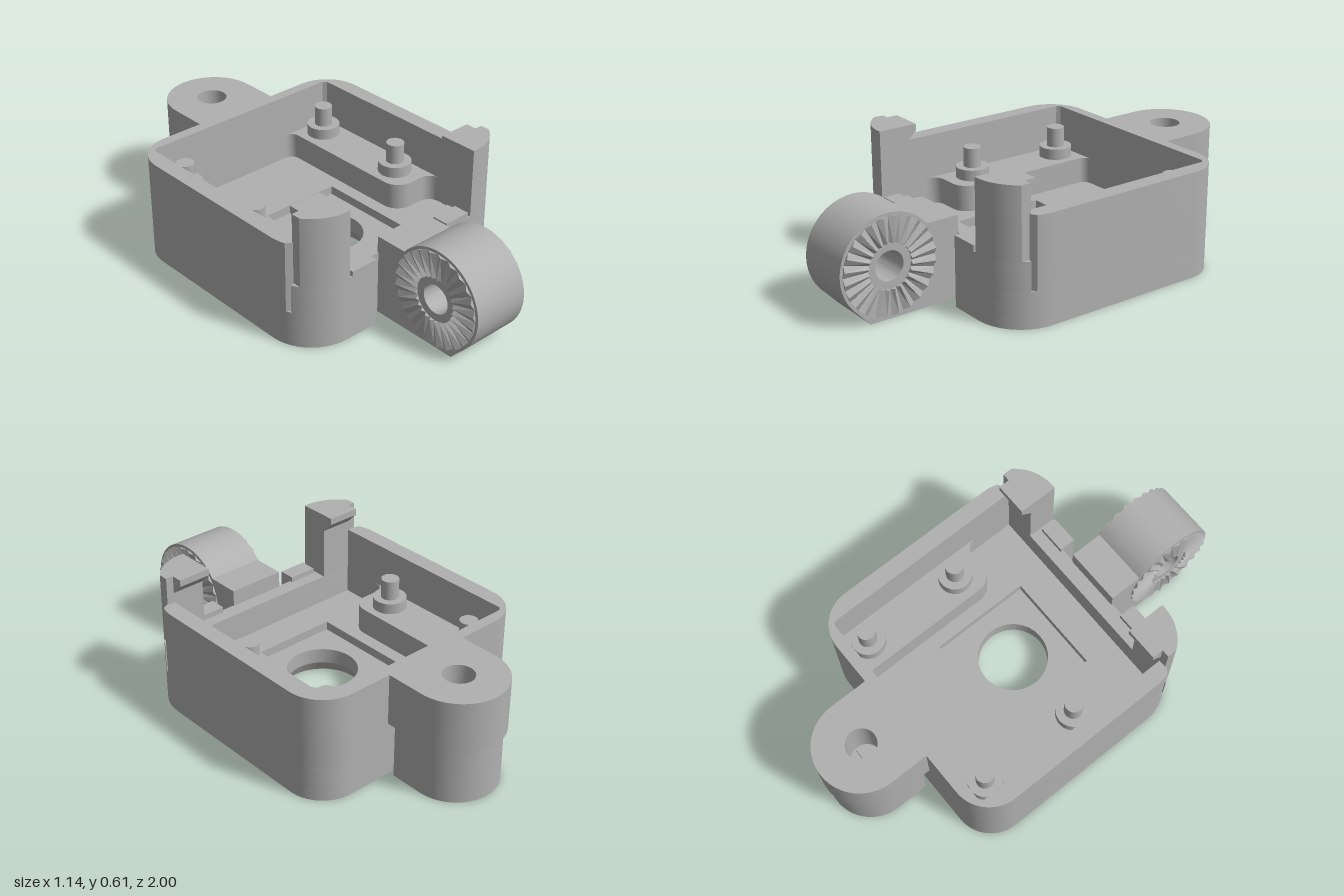
import * as THREE from 'three';
import { toCreasedNormals } from 'three/addons/utils/BufferGeometryUtils.js';

export function createModel() {
  const model = new THREE.Group();
  model.name = 'hingedEnclosure';
  const grey = new THREE.MeshStandardMaterial({ color: 0xb0b0b0, side: THREE.DoubleSide });
  grey.name = 'grey plastic';

  const add = (name, geo) => {
    const mesh = new THREE.Mesh(geo, grey);
    mesh.name = name;
    model.add(mesh);
    return mesh;
  };
  // Plan outline (x, -z) raised from y0 to y1
  const slab = (name, shape, y0, y1) => {
    const g = new THREE.ExtrudeGeometry(shape, { depth: y1 - y0, bevelEnabled: false, curveSegments: 16 });
    g.rotateX(-Math.PI / 2).translate(0, y0, 0);
    return add(name, toCreasedNormals(g, 0.5));
  };
  // Side profile (z, y) spread from x0 to x1
  const profile = (name, shape, x0, x1) => {
    const g = new THREE.ExtrudeGeometry(shape, { depth: x1 - x0, bevelEnabled: false, curveSegments: 24 });
    g.rotateY(-Math.PI / 2).translate(x1, 0, 0);
    return add(name, toCreasedNormals(g, 0.5));
  };
  const poly = (pts) => new THREE.Shape(pts.map(([x, z]) => new THREE.Vector2(x, -z)));
  const box = (name, x0, x1, y0, y1, z0, z1) =>
    add(name, new THREE.BoxGeometry(x1 - x0, y1 - y0, z1 - z0)
      .translate((x0 + x1) / 2, (y0 + y1) / 2, (z0 + z1) / 2));
  const arc = (cx, cz, r, a0, a1, n = 14) => Array.from({ length: n + 1 }, (_, i) => {
    const a = a0 + (a1 - a0) * i / n;
    return [cx + r * Math.cos(a), cz + r * Math.sin(a)];
  });
  const circle = (r, z = 0) => new THREE.Path().absarc(0, -z, r, 0, Math.PI * 2, true);
  const H = Math.PI / 2;
  const mirror = (pts) => pts.map(([x, z]) => [-x, z]).reverse();
  const frontCorner = arc(0.36, 0.30, 0.21, 0, H);
  const backCorner = arc(0.40, -0.45, 0.17, -H, 0);

  // Floor, with a notch for the hinge arm and a countersunk centre hole
  const rightHalf = [...backCorner, ...frontCorner, [0.2, 0.51], [0.2, 0.45]];
  const floor = (hole) => {
    const s = poly([...rightHalf, ...mirror(rightHalf)]);
    s.holes.push(hole);
    return s;
  };
  const R = 0.23;
  const square = new THREE.Path([[-R, -R], [-R, R], [R, R], [R, -R]].map((p) => new THREE.Vector2(...p)));
  slab('floorUnderside', floor(circle(0.18)), 0, 0.05);
  slab('floorPlate', floor(circle(0.155)), 0.05, 0.12);
  slab('floorRecess', floor(square), 0.12, 0.16);
  add('countersink', new THREE.CylinderGeometry(0.155, 0.18, 0.05, 48, 1, true).translate(0, 0.025, 0));

  // Back and side walls
  const sideOuter = [...backCorner, ...frontCorner.filter(([, z]) => z < 0.38), [0.53, 0.385], [0.495, 0.385]];
  const inner = [[0.495, -0.555], [0.48, -0.57]];
  slab('walls', poly([...sideOuter, ...inner, ...mirror(inner), ...mirror(sideOuter)]), 0.16, 0.48);

  // Low front wall
  const frontHalf = [[0.495, 0.38], ...frontCorner.filter(([, z]) => z >= 0.38), [0.2, 0.51], [0.2, 0.45]];
  slab('frontWall', poly([...frontHalf, ...mirror(frontHalf)]), 0.16, 0.29);

  for (const s of [1, -1]) {
    const side = (pts) => poly(pts.map(([x, z]) => [s * x, z]));
    const span = (a, b) => (s > 0 ? [a, b] : [-b, -a]);

    // Raised lip on the front wall
    box('frontLip', ...span(0.2, 0.33), 0.29, 0.315, 0.435, 0.51);

    // Snap post with its inward hook
    slab('snapPost', side([[0.345, 0.38], [0.53, 0.38], ...arc(0.36, 0.30, 0.21, 0.627, H), [0.345, 0.51]]), 0.29, 0.605);
    const hook = new THREE.Shape([[0.385, 0.605], [0.33, 0.605], [0.33, 0.575], [0.385, 0.52]]
      .map((p) => new THREE.Vector2(...p)));
    profile('snapHook', hook, ...span(0.345, 0.495));

    // Raised platform along the side wall
    slab('platform', side([
      [0.5, -0.575], [0.25, -0.575], ...arc(0.25, -0.53, 0.04, -H, 0, 6),
      ...arc(0.37, 0.05, 0.08, Math.PI, H, 8), ...arc(0.44, 0.185, 0.055, -H, 0, 6), [0.5, 0.185],
    ]), 0.16, 0.28);

    // Mounting bosses and pins
    for (const z of [-0.475, 0]) {
      add('boss', new THREE.CylinderGeometry(0.075, 0.075, 0.05, 32).translate(s * 0.4, 0.305, z));
      add('pin', new THREE.CylinderGeometry(0.04, 0.04, 0.09, 24).translate(s * 0.4, 0.375, z));
    }
  }

  // Rear mounting tab and the separate support below it
  const tongue = (r, z) => poly([[r, z], [-r, z], ...arc(0, -0.795, r, -Math.PI, 0, 36)]);
  const tab = tongue(0.205, -0.615);
  tab.holes.push(circle(0.067, -0.795));
  slab('rearTab', tab, 0.25, 0.48);
  slab('tabSupport', tongue(0.19, -0.645), 0, 0.24);
  box('supportCrossBar', -0.06, 0.06, 0.24, 0.26, -0.807, -0.783);
  box('supportCrossBar', -0.012, 0.012, 0.24, 0.26, -0.855, -0.735);

  // Hinge arm and knuckle
  const cz = 0.775, cy = 0.228, rad = Math.PI / 180;
  const arm = new THREE.Shape();
  arm.moveTo(0.445, 0);
  arm.lineTo(0.87, 0);
  arm.absarc(cz, cy, 0.225, -43 * rad, 142.5 * rad, false);
  arm.lineTo(0.445, 0.365);
  arm.holes.push(new THREE.Path().absarc(cz, cy, 0.065, 0, Math.PI * 2, true));
  profile('hingeArm', arm, -0.132, 0.132);

  // Radial locking teeth on both faces of the knuckle
  const teeth = (count, r0, r1, h) => {
    const v = [];
    const p = (r, k, x) => {
      const a = k / count * Math.PI * 2;
      return [x, r * Math.cos(a), r * Math.sin(a)];
    };
    for (let i = 0; i < count; i++) {
      const a = p(r0, i, 0), A = p(r1, i, 0);
      const m = p(r0, i + 0.5, h), M = p(r1, i + 0.5, h);
      const b = p(r0, i + 1, 0), B = p(r1, i + 1, 0);
      v.push(...a, ...A, ...M, ...a, ...M, ...m, ...m, ...M, ...B, ...m, ...B, ...b, ...A, ...B, ...M, ...a, ...m, ...b);
    }
    const g = new THREE.BufferGeometry();
    g.setAttribute('position', new THREE.Float32BufferAttribute(v, 3));
    g.computeVertexNormals();
    return g;
  };
  for (const s of [1, -1]) {
    const ring = add('lockingTeeth', teeth(24, 0.1, 0.213, 0.014));
    ring.position.set(s * 0.1325, cy, cz);
    ring.rotation.y = s > 0 ? 0 : Math.PI;
  }
  return model;
}
